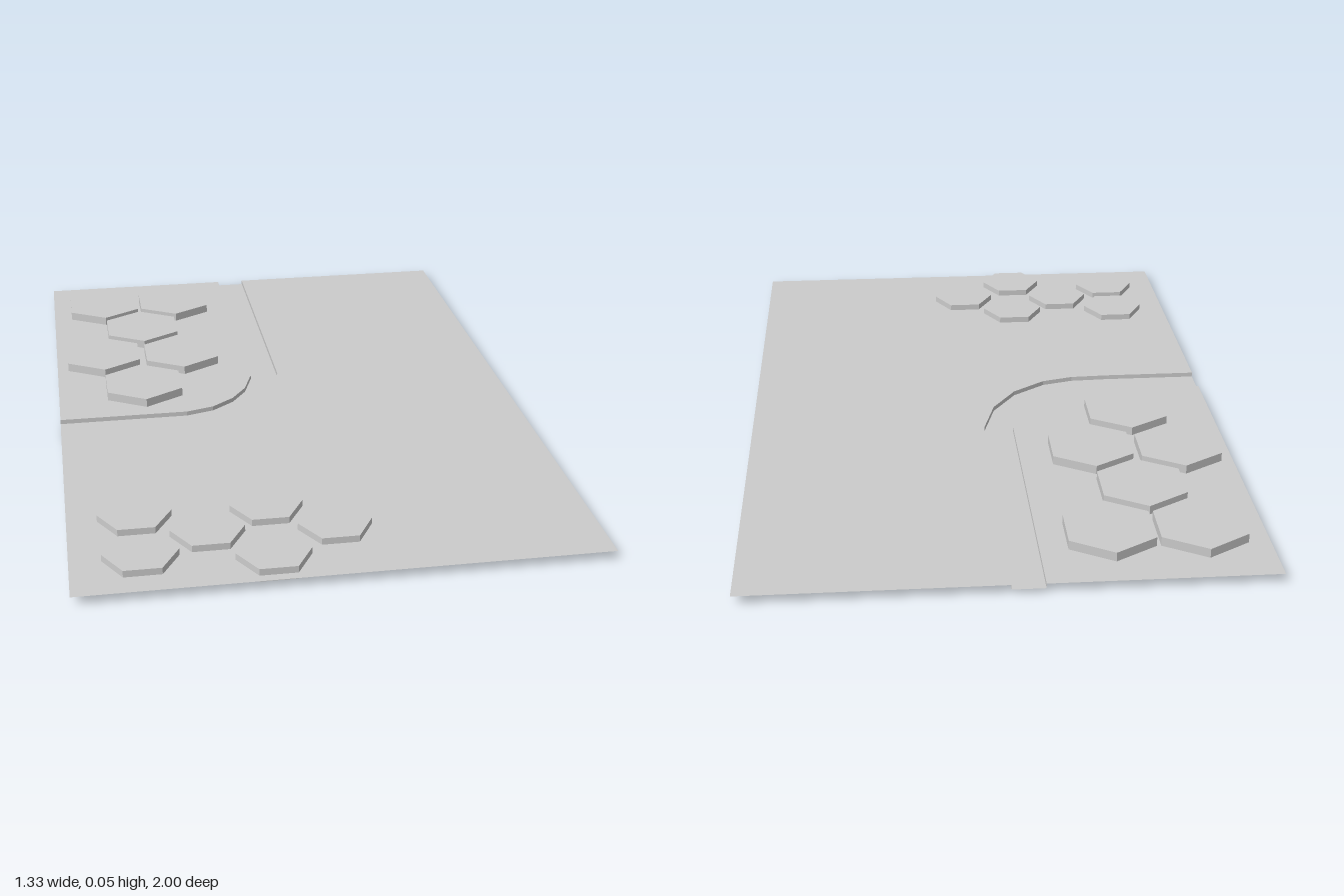
import * as THREE from 'three';

const LEVEL = 0.025, FLOOR = 0.012, W = 0.667;
const material = new THREE.MeshStandardMaterial({ color: 0xcccccc, flatShading: true, side: THREE.DoubleSide });

// Channel edges as [x, z], running from the back edge to the side edge
const innerEdge = [[-0.085, -1], [-0.08, -0.18], [-0.11, -0.09], [-0.155, -0.025], [-0.22, 0.025], [-0.3, 0.048], [-W, 0.048]];
const outerEdge = [[0, -1], [0.003, -0.18], [-0.035, -0.05], [-0.105, 0.05], [-0.2, 0.115], [-0.29, 0.138], [-0.4, 0.142], [-W, 0.142]];

function addMesh(group, name, geometry) {
  const mesh = new THREE.Mesh(geometry, material);
  mesh.name = name;
  group.add(mesh);
  return mesh;
}

// Flat horizontal sheet from an [x, z] outline
function sheet(points, y) {
  const shape = new THREE.Shape(points.map(([x, z]) => new THREE.Vector2(x, -z)));
  return new THREE.ShapeGeometry(shape).rotateX(-Math.PI / 2).translate(0, y, 0);
}

// Vertical ribbon joining the ground to the channel floor
function wall(points) {
  const pos = [], index = [];
  points.forEach(([x, z], i) => {
    pos.push(x, FLOOR, z, x, LEVEL, z);
    if (i) {
      const a = 2 * i - 2;
      index.push(a, a + 2, a + 1, a + 1, a + 2, a + 3);
    }
  });
  const g = new THREE.BufferGeometry();
  g.setAttribute('position', new THREE.Float32BufferAttribute(pos, 3));
  g.setIndex(index);
  const flat = g.toNonIndexed();
  flat.computeVertexNormals();
  return flat;
}

// Six-sided slab, optionally with a recess in its underside
function hexagon(r, bottom, top, hollow) {
  const inner = r * 0.72, roof = LEVEL + 0.004;
  const start = hollow ? [[0, roof], [inner, roof], [inner, bottom]] : [[0, bottom]];
  const profile = [...start, [r, bottom], [r, top], [0, top]].map(([x, y]) => new THREE.Vector2(x, y));
  const g = new THREE.LatheGeometry(profile, 6).toNonIndexed();
  g.computeVertexNormals();
  return g;
}

export function createModel() {
  const model = new THREE.Group();
  model.name = 'hexagonGroundPanel';

  // Ground on both sides of the sunken channel
  const ground = new THREE.Group();
  ground.name = 'ground';
  addMesh(ground, 'cornerGround', sheet([...innerEdge, [-W, -1]], LEVEL));
  addMesh(ground, 'mainGround', sheet([...outerEdge, [-W, 1], [W, 1], [W, -1]], LEVEL));
  model.add(ground);

  // Sunken curved channel
  const channel = new THREE.Group();
  channel.name = 'channel';
  addMesh(channel, 'channelFloor', sheet([...innerEdge, ...[...outerEdge].reverse()], FLOOR));
  addMesh(channel, 'channelInnerWall', wall(innerEdge));
  addMesh(channel, 'channelOuterWall', wall(outerEdge));
  model.add(channel);

  // Hexagon clusters: [x, z, hollow underside]
  const clusters = [
    { name: 'largeHexagon', r: 0.128, bottom: 0, top: 0.05, turn: 0,
      at: [[-0.5, -0.787, 1], [-0.267, -0.787, 0], [-0.387, -0.57, 1], [-0.523, -0.363, 0], [-0.28, -0.348, 0], [-0.413, -0.13, 1]] },
    { name: 'smallHexagon', r: 0.095, bottom: 0.008, top: 0.043, turn: Math.PI / 6,
      at: [[-0.494, 0.655, 0], [-0.155, 0.657, 0], [-0.318, 0.76, 1], [0.003, 0.775, 1], [-0.492, 0.85, 1], [-0.17, 0.893, 0]] },
  ];
  for (const c of clusters) {
    const group = new THREE.Group();
    group.name = c.name + 'Cluster';
    c.at.forEach(([x, z, hollow], i) => {
      const mesh = addMesh(group, c.name + (i + 1), hexagon(c.r, c.bottom, c.top, hollow));
      mesh.position.set(x, 0, z);
      mesh.rotation.y = c.turn;
    });
    model.add(group);
  }
  return model;
}
